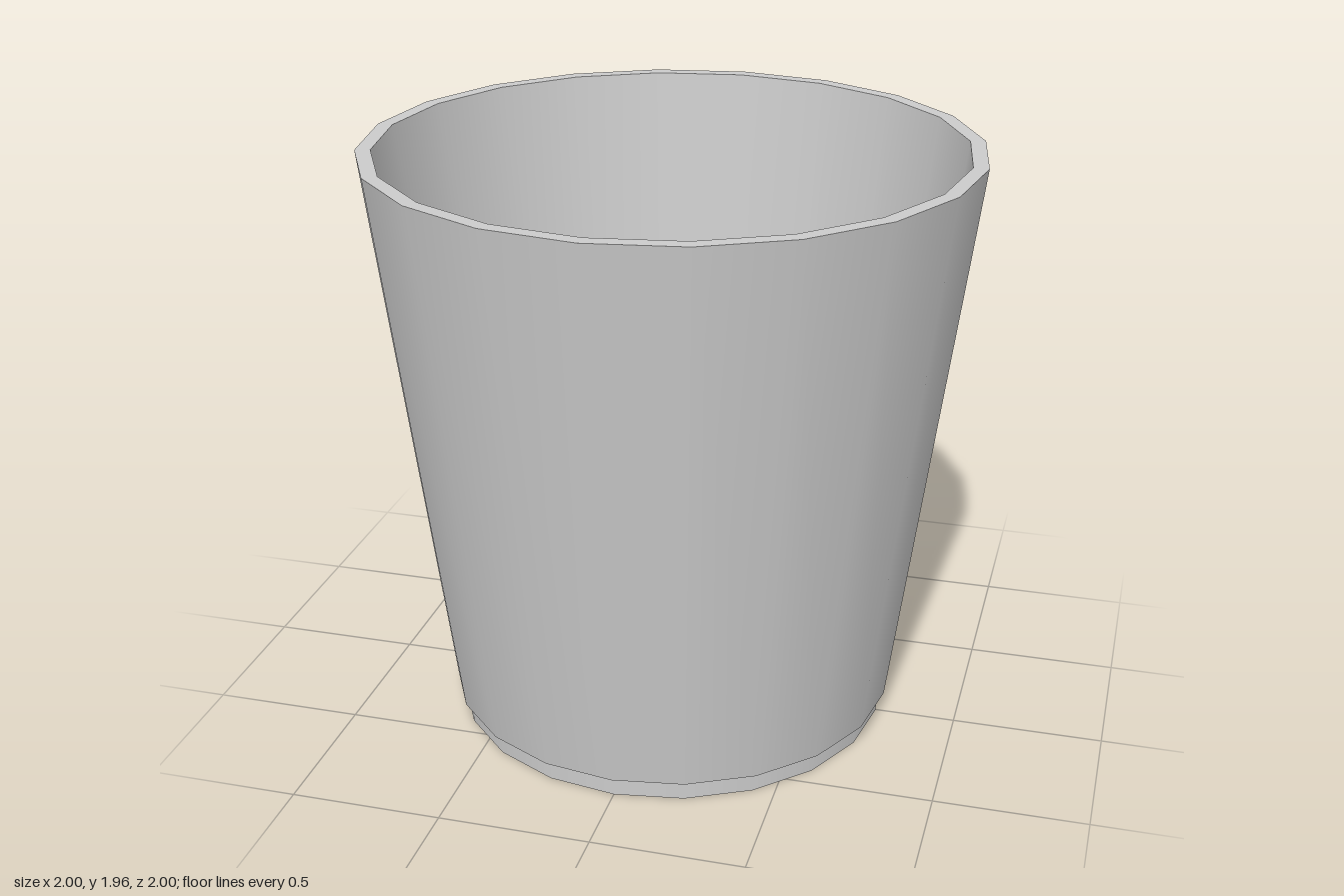
import * as THREE from 'three';

const SIDES = 20;

export function createModel() {
  const group = new THREE.Group();
  group.name = 'cup';
  const material = new THREE.MeshStandardMaterial({ color: 0xcccccc });

  // Closed profile from the underside, up the outside, over the rim and down to the floor.
  // Each band is its own lathe, so it is smooth around and sharp at its edges.
  const profile = [
    [0, 0], [0.73, 0], [0.73, 0.07], [0.755, 0.07],
    [1, 1.96], [0.95, 1.96], [0.715, 0.07], [0, 0.07],
  ];
  const names = ['underside', 'footRing', 'footLedge', 'outerWall', 'rim', 'innerWall', 'floor'];

  names.forEach((name, i) => {
    const points = [profile[i], profile[i + 1]].map(([r, y]) => new THREE.Vector2(r, y));
    const mesh = new THREE.Mesh(new THREE.LatheGeometry(points, SIDES), material);
    mesh.name = name;
    group.add(mesh);
  });

  return group;
}
